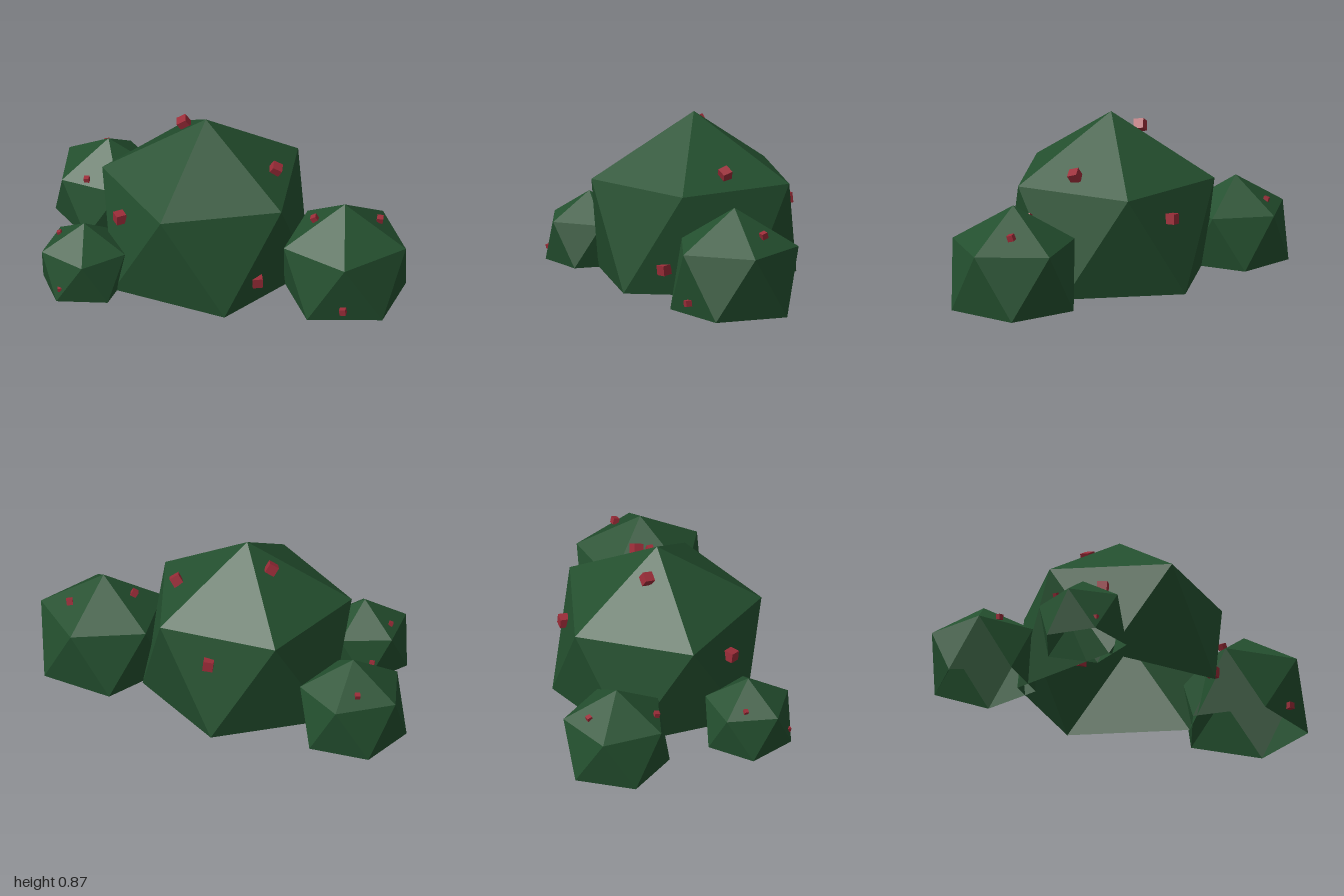
import * as THREE from 'three';

const foliage = new THREE.MeshStandardMaterial({ color: 0x24502f, flatShading: true, side: THREE.DoubleSide });
foliage.name = 'foliageGreen';
const berryRed = new THREE.MeshStandardMaterial({ color: 0x9b2c38 });
berryRed.name = 'berryRed';

// Open-bottomed dome: an icosahedron standing on its lower ring, without the bottom cap
function domeGeometry(radius, degrees) {
  const ringY = radius * 2 / Math.sqrt(5);
  const apex = [0, ringY / 2 + radius, 0];
  const ring = (y, offset) => (k) => {
    const a = THREE.MathUtils.degToRad(degrees + offset + 72 * k);
    return [ringY * Math.cos(a), y, ringY * Math.sin(a)];
  };
  const upper = ring(ringY, 0);
  const lower = ring(0, 36);
  const points = [];
  for (let k = 0; k < 5; k++) {
    points.push(apex, upper(k + 1), upper(k));
    points.push(upper(k), upper(k + 1), lower(k));
    points.push(lower(k), upper(k + 1), lower(k + 1));
  }
  const geometry = new THREE.BufferGeometry();
  geometry.setAttribute('position', new THREE.Float32BufferAttribute(points.flat(), 3));
  geometry.computeVertexNormals();
  return geometry;
}

// Each bush: centre, radius, turn of its upper ring, berry positions and rotations
const bushes = [
  {
    name: 'mainBush', x: -0.105, z: 0, radius: 0.603, turn: 98.4,
    berries: [
      [-0.25, 0.78, -0.08, 0.2, 0.3, 0.5],
      [0.26, 0.617, -0.037, 0.3, 0.2, -0.6],
      [-0.47, 0.4, 0.32, 0.1, 0.7, 0],
      [0.267, 0.14, 0.3, 0.1, 0.4, 0],
      [0, 0.4, -0.468, 0.05, 0.1, 0.1],
    ],
  },
  {
    name: 'leftBush', x: 0.665, z: 0.06, radius: 0.37, turn: 1,
    berries: [
      [0.507, 0.433, 0.08, 0.1, 0.2, 0.5],
      [0.822, 0.415, -0.043, 0.3, 0.2, -0.2],
      [0.743, 0.07, 0.345, 0.05, 0.1, 0.1],
    ],
  },
  {
    name: 'backBush', x: -0.735, z: -0.333, radius: 0.307, turn: -82.5,
    berries: [
      [-0.79, 0.305, -0.133, 0.2, 0.1, 0.1],
      [-0.79, 0.325, -0.488, -0.3, 0.3, 0.2],
    ],
  },
  {
    name: 'frontBush', x: -0.645, z: 0.375, radius: 0.252, turn: 76,
    berries: [
      [-0.79, 0.258, 0.335, 0.1, 0.2, 0.4],
      [-0.715, 0.07, 0.572, 0.2, 0.3, 0.1],
    ],
  },
];

export function createModel() {
  const model = new THREE.Group();
  model.name = 'bushCluster';
  for (const { name, x, z, radius, turn, berries } of bushes) {
    const bush = new THREE.Group();
    bush.name = name;
    const dome = new THREE.Mesh(domeGeometry(radius, turn), foliage);
    dome.name = 'leafDome';
    dome.position.set(x, 0, z);
    bush.add(dome);

    // Cube berries half sunk into the leaves
    const size = radius * 0.088;
    const cube = new THREE.BoxGeometry(size, size, size);
    for (const [bx, by, bz, rx, ry, rz] of berries) {
      const berry = new THREE.Mesh(cube, berryRed);
      berry.name = 'berry';
      berry.position.set(bx, by, bz);
      berry.rotation.set(rx, ry, rz);
      bush.add(berry);
    }
    model.add(bush);
  }
  return model;
}
